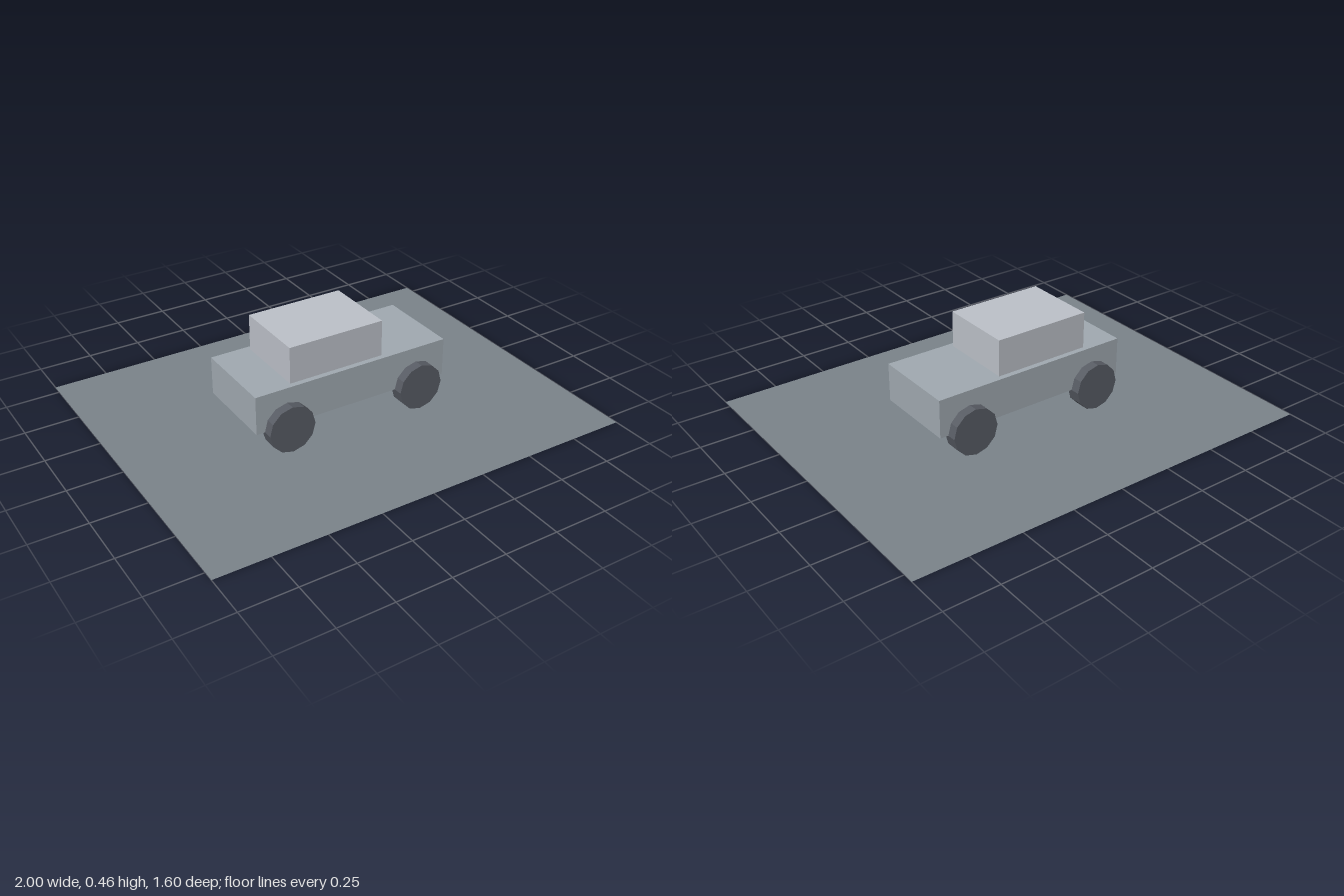
import * as THREE from 'three';

const paint = (color, side = THREE.FrontSide) =>
  new THREE.MeshStandardMaterial({ color, side, flatShading: true });

export function createModel() {
  const model = new THREE.Group();
  model.name = 'carOnGround';

  const add = (name, geometry, material, x, y, z, parent = model) => {
    const mesh = new THREE.Mesh(geometry, material);
    mesh.name = name;
    mesh.position.set(x, y, z);
    parent.add(mesh);
    return mesh;
  };

  // Flat ground sheet
  add('ground', new THREE.PlaneGeometry(2, 1.6).rotateX(-Math.PI / 2),
    paint(0x7a838a, THREE.DoubleSide), 0, 0, 0);

  const car = new THREE.Group();
  car.name = 'car';
  model.add(car);

  // Lower body and cabin, the cabin set back towards -x
  add('body', new THREE.BoxGeometry(0.96, 0.18, 0.4), paint(0xa0a9b0), 0, 0.202, 0, car);
  add('cabin', new THREE.BoxGeometry(0.46, 0.17, 0.35), paint(0xbcc0c8), -0.07, 0.377, 0, car);

  // Four twelve-sided wheels, partly sunk into the body sides
  const wheelGeometry = new THREE.CylinderGeometry(0.11, 0.11, 0.07, 12).rotateX(Math.PI / 2);
  const rubber = paint(0x585c64);
  for (const [end, x] of [['front', 0.33], ['rear', -0.33]]) {
    for (const [side, z] of [['Near', 0.21], ['Far', -0.21]]) {
      add(`${end}${side}Wheel`, wheelGeometry, rubber, x, 0.112, z, car);
    }
  }

  return model;
}
